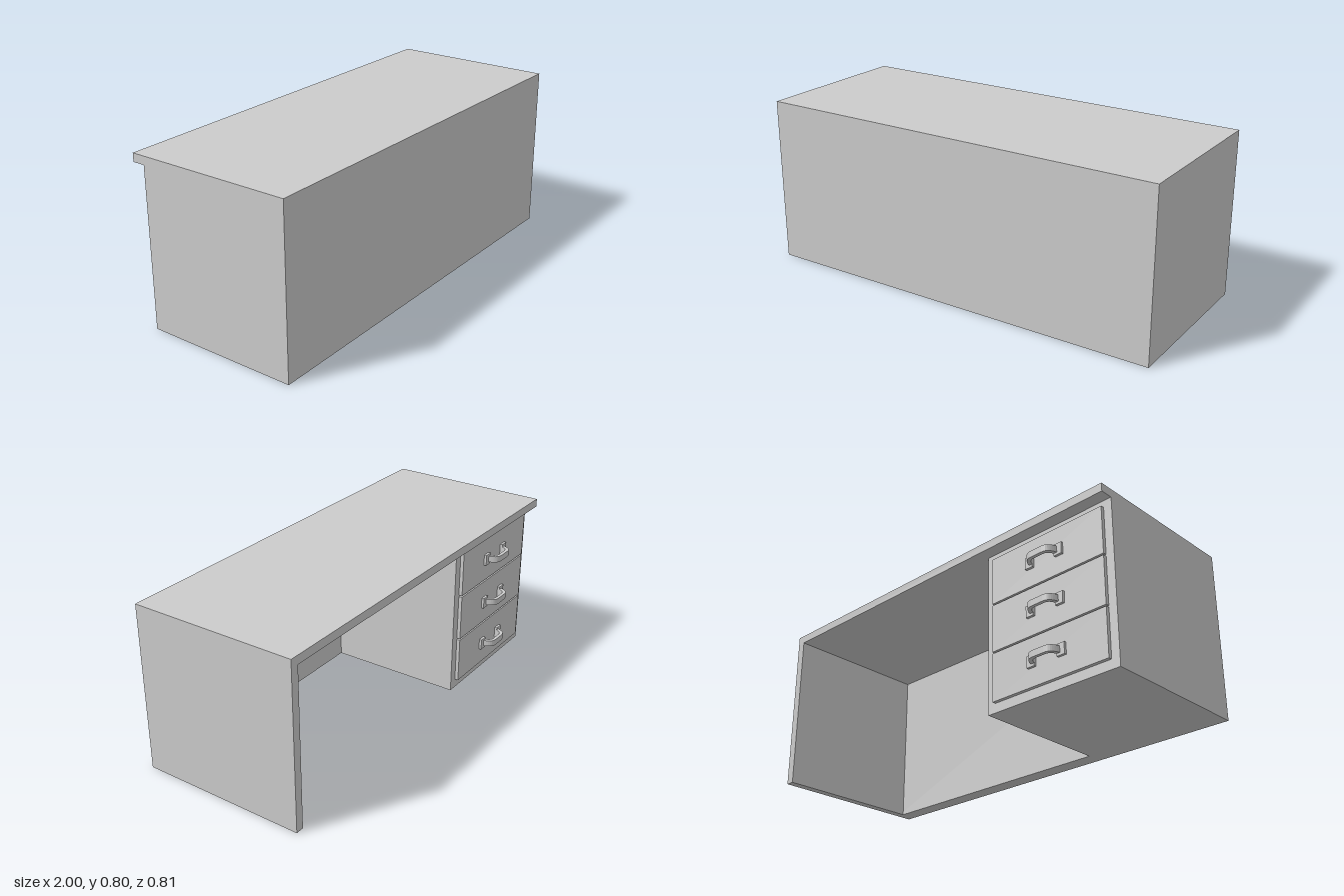
import * as THREE from 'three';

const material = new THREE.MeshStandardMaterial({ color: 0xcccccc });

// Box given by its two extreme corners
function block(name, [x0, y0, z0], [x1, y1, z1]) {
  const mesh = new THREE.Mesh(new THREE.BoxGeometry(x1 - x0, y1 - y0, z1 - z0), material);
  mesh.position.set((x0 + x1) / 2, (y0 + y1) / 2, (z0 + z1) / 2);
  mesh.name = name;
  return mesh;
}

// Arched pull: a bent strap on two flat feet, standing out towards -z
function makeHandle() {
  const handle = new THREE.Group();
  handle.name = 'handle';

  const strap = new THREE.Shape();
  strap.moveTo(-0.08, 0);
  strap.bezierCurveTo(-0.072, 0.036, -0.06, 0.057, -0.03, 0.057);
  strap.lineTo(0.03, 0.057);
  strap.bezierCurveTo(0.06, 0.057, 0.072, 0.036, 0.08, 0);
  strap.lineTo(0.062, 0);
  strap.bezierCurveTo(0.056, 0.028, 0.046, 0.041, 0.026, 0.041);
  strap.lineTo(-0.026, 0.041);
  strap.bezierCurveTo(-0.046, 0.041, -0.056, 0.028, -0.062, 0);
  strap.closePath();
  const geometry = new THREE.ExtrudeGeometry(strap, { depth: 0.03, bevelEnabled: false, curveSegments: 8 });
  geometry.translate(0, 0, -0.015).rotateX(-Math.PI / 2);
  const grip = new THREE.Mesh(geometry, material);
  grip.name = 'grip';
  handle.add(grip);

  for (const side of [-1, 1]) {
    const x = side * 0.08;
    handle.add(block('handleFoot', [x - 0.02, -0.027, -0.012], [x + 0.02, 0.027, 0]));
  }
  return handle;
}

export function createModel() {
  const desk = new THREE.Group();
  desk.name = 'desk';

  const front = 0.407, back = -0.393;   // depth limits of the top
  const panelInner = 0.33;              // inner face of the modesty panel
  const pedestalFace = -0.333;          // set back under the top
  const drawerFace = -0.35;
  const underside = 0.76;

  // Top and supporting panels
  desk.add(
    block('desktop', [-1, underside, back], [1, 0.8, front]),
    block('modestyPanel', [-1, 0, panelInner], [1, underside, front]),
    block('sidePanel', [0.96, 0, back], [1, underside, panelInner]),
    block('drawerPedestal', [-1, 0, pedestalFace], [-0.31, underside, panelInner])
  );

  // Three drawers, evenly stacked
  const pitch = 0.231;
  for (let i = 0; i < 3; i++) {
    const y = 0.155 + i * pitch;
    const half = pitch / 2 - 0.004;
    const drawer = new THREE.Group();
    drawer.name = 'drawer';
    drawer.add(block('drawerFront', [-0.96, y - half, drawerFace], [-0.35, y + half, pedestalFace]));
    const handle = makeHandle();
    handle.position.set(-0.653, y, drawerFace);
    drawer.add(handle);
    desk.add(drawer);
  }
  return desk;
}
